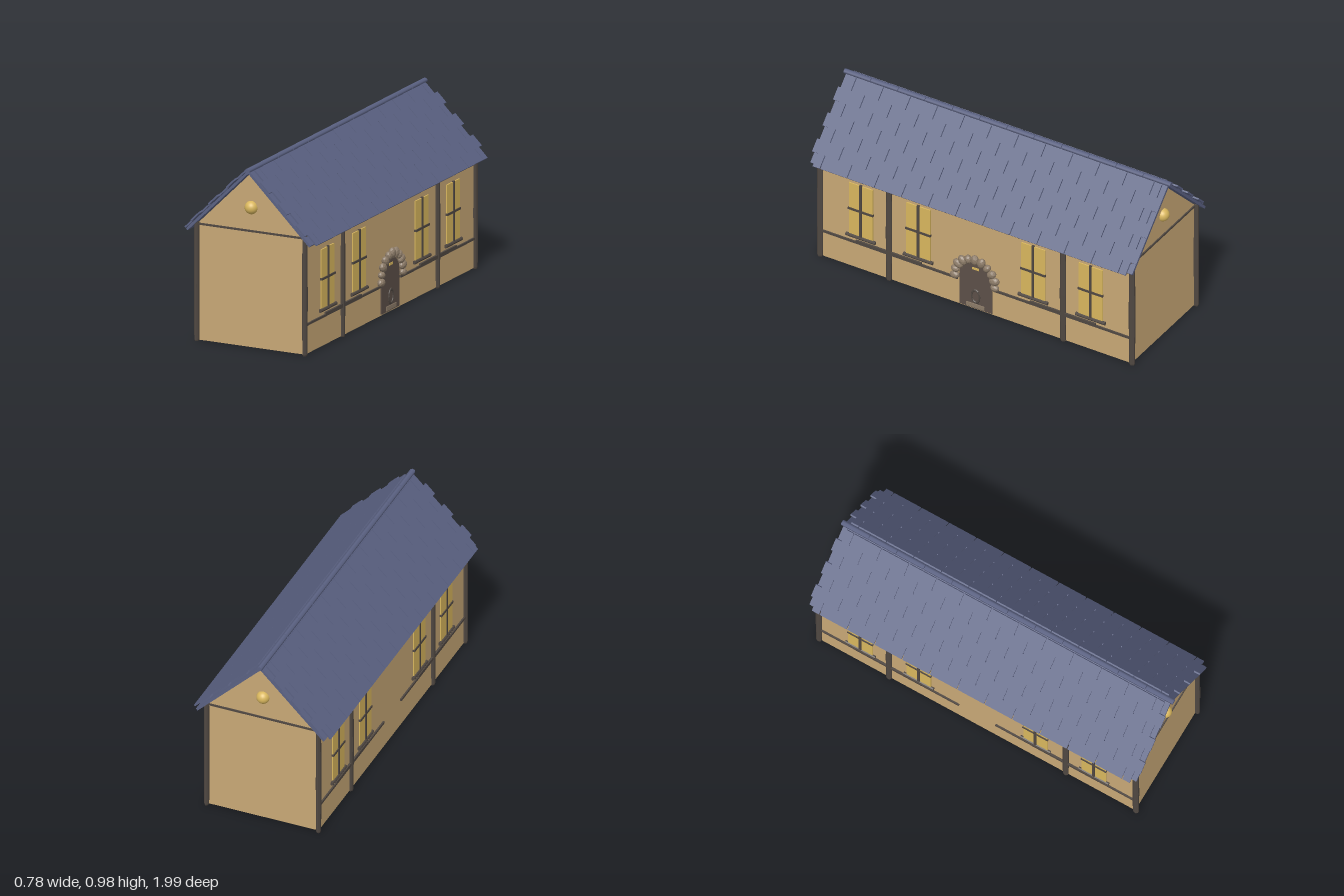
import * as THREE from 'three';
import { mergeGeometries } from 'three/addons/utils/BufferGeometryUtils.js';

const material = (name, color, extra = {}) => Object.assign(new THREE.MeshStandardMaterial({ color, ...extra }), { name });

export function createModel() {
  const plaster = material('plaster', 0xc8a876);
  const slate = material('slate', 0x5b6283);
  const timber = material('timber', 0x504842, { flatShading: true });
  const glass = material('glass', 0xd9b75e);
  const stone = material('stone', 0x8c7b68, { flatShading: true });
  const doorWood = material('doorWood', 0x5d5048);
  const model = new THREE.Group();
  model.name = 'longHouse';

  const add = (parent, name, geometry, mat, x = 0, y = 0, z = 0) => {
    const mesh = new THREE.Mesh(geometry, mat);
    mesh.name = name;
    mesh.position.set(x, y, z);
    parent.add(mesh);
    return mesh;
  };
  const box = (w, h, d) => new THREE.BoxGeometry(w, h, d);

  // Walls with gable ends
  const outline = new THREE.Shape([
    [-0.315, 0.005], [0.315, 0.005], [0.315, 0.633], [0, 0.945], [-0.315, 0.633],
  ].map(([x, y]) => new THREE.Vector2(x, y)));
  const walls = new THREE.ExtrudeGeometry(outline, { depth: 1.89, bevelEnabled: false });
  add(model, 'walls', walls, plaster, 0, 0, -0.945);

  // Gable beams and round windows
  for (const end of [-1, 1]) {
    add(model, 'gableBeam', box(0.62, 0.01, 0.014), timber, 0, 0.632, end * 0.945);
    add(model, 'roundWindow', new THREE.SphereGeometry(0.036, 24, 16), glass, 0, 0.758, end * 0.943);
  }

  // Faceted posts, slightly swollen in the middle
  const postGeometry = new THREE.LatheGeometry([
    [0, 0], [0.011, 0], [0.0135, 0.008], [0.015, 0.3], [0.0135, 0.642], [0.011, 0.65], [0, 0.65],
  ].map(([r, y]) => new THREE.Vector2(r, y)), 8, Math.PI / 8);
  postGeometry.scale(0.95, 1, 1.25);

  // One long side: posts, rails and windows
  const buildSide = (name) => {
    const side = new THREE.Group();
    side.name = name;
    for (const z of [-0.95, -0.53, 0.53, 0.95]) {
      const post = add(side, 'post', postGeometry, timber, 0.317, 0, z);
      if (Math.abs(z) < 0.9) post.scale.y = 0.97;
    }
    for (const end of [-1, 1]) {
      add(side, 'rail', box(0.014, 0.012, 0.83), timber, 0.317, 0.165, end * 0.525);
      add(side, 'railJoint', box(0.018, 0.018, 0.4), timber, 0.317, 0.172, end * 0.53);
    }
    for (const z of [-0.7, -0.35, 0.35, 0.7]) {
      const win = new THREE.Group();
      win.name = 'window';
      win.position.set(0.315, 0.37, z);
      add(win, 'pane', box(0.009, 0.32, 0.145), glass, 0.0025);
      add(win, 'mullion', box(0.012, 0.33, 0.014), timber, 0.006);
      add(win, 'crossBar', box(0.012, 0.012, 0.152), timber, 0.006);
      const sill = new THREE.CylinderGeometry(0.01, 0.01, 0.18, 8);
      sill.rotateX(Math.PI / 2);
      add(win, 'sill', sill, timber, 0.006, -0.168);
      side.add(win);
    }
    model.add(side);
    return side;
  };
  const leftSide = buildSide('leftSide');
  buildSide('rightSide').rotation.y = Math.PI;

  // Arched door with handle and stone surround
  const doorShape = new THREE.Shape();
  doorShape.moveTo(-0.1, 0.012);
  doorShape.lineTo(0.1, 0.012);
  doorShape.lineTo(0.1, 0.2);
  doorShape.absarc(0, 0.2, 0.1, 0, Math.PI, false);
  const doorGeometry = new THREE.ExtrudeGeometry(doorShape, { depth: 0.009, bevelEnabled: false });
  doorGeometry.rotateY(Math.PI / 2);
  add(leftSide, 'door', doorGeometry, doorWood, 0.312);
  add(leftSide, 'doorstep', box(0.012, 0.022, 0.11), stone, 0.32, 0.03, 0);
  const handle = new THREE.TorusGeometry(0.024, 0.005, 6, 14);
  handle.scale(1, 1.6, 1);
  handle.rotateY(Math.PI / 2);
  add(leftSide, 'doorRing', handle, timber, 0.322, 0.088, 0);
  add(leftSide, 'doorLight', box(0.006, 0.014, 0.04), glass, 0.32, 0.262, 0);

  const count = 11;
  for (let i = 0; i < count; i++) {
    const a = -0.08 + (Math.PI + 0.16) * i / (count - 1);
    const size = 1 + 0.12 * Math.sin(i * 4.3);
    const block = new THREE.IcosahedronGeometry(0.026, 1);
    block.scale(0.75, 0.85, 1.1);
    const mesh = add(leftSide, 'archStone', block, stone, 0.33, 0.2 + 0.122 * Math.sin(a), 0.122 * Math.cos(a));
    mesh.rotation.x = -a;
    mesh.scale.set(1, size, size);
  }

  // Roof slopes: a board below and staggered tiles above
  const pitch = Math.atan(0.985);
  const rows = 7, rowLength = 0.511 / rows;
  const buildSlope = (name) => {
    const slope = new THREE.Group();
    slope.name = name;
    const board = new THREE.Group();
    board.position.set(0, 0.958, 0);
    board.rotation.z = -pitch;
    add(board, 'roofBoard', box(0.507, 0.014, 1.96), slate, 0.2535, 0, 0);
    const tiles = [];
    for (let row = 0; row < rows; row++) {
      const half = row % 2 ? 0.99 : 0.955;
      const shift = row % 2 ? 0 : 0.0825;
      for (let k = -1; k < 12; k++) {
        const z0 = Math.max(-half, -0.99 + shift + k * 0.165);
        const z1 = Math.min(half, -0.99 + shift + (k + 1) * 0.165);
        if (z1 - z0 < 0.01) continue;
        const tile = box(rowLength, 0.009, z1 - z0 - 0.005);
        tile.translate((row + 0.5) * rowLength + 0.013, 0.018, (z0 + z1) / 2);
        tiles.push(tile);
      }
    }
    add(board, 'roofTiles', mergeGeometries(tiles), slate);
    slope.add(board);
    model.add(slope);
    return slope;
  };
  buildSlope('leftSlope');
  buildSlope('rightSlope').rotation.y = Math.PI;

  // Ridge capping in short lengths
  for (let i = 0; i < 12; i++) {
    const cap = new THREE.CylinderGeometry(0.016, 0.016, 0.163, 6);
    cap.rotateX(Math.PI / 2);
    cap.scale(1, 0.8, 1);
    add(model, 'ridgeCap', cap, slate, 0, 0.965, -0.913 + i * 0.166);
  }
  return model;
}
